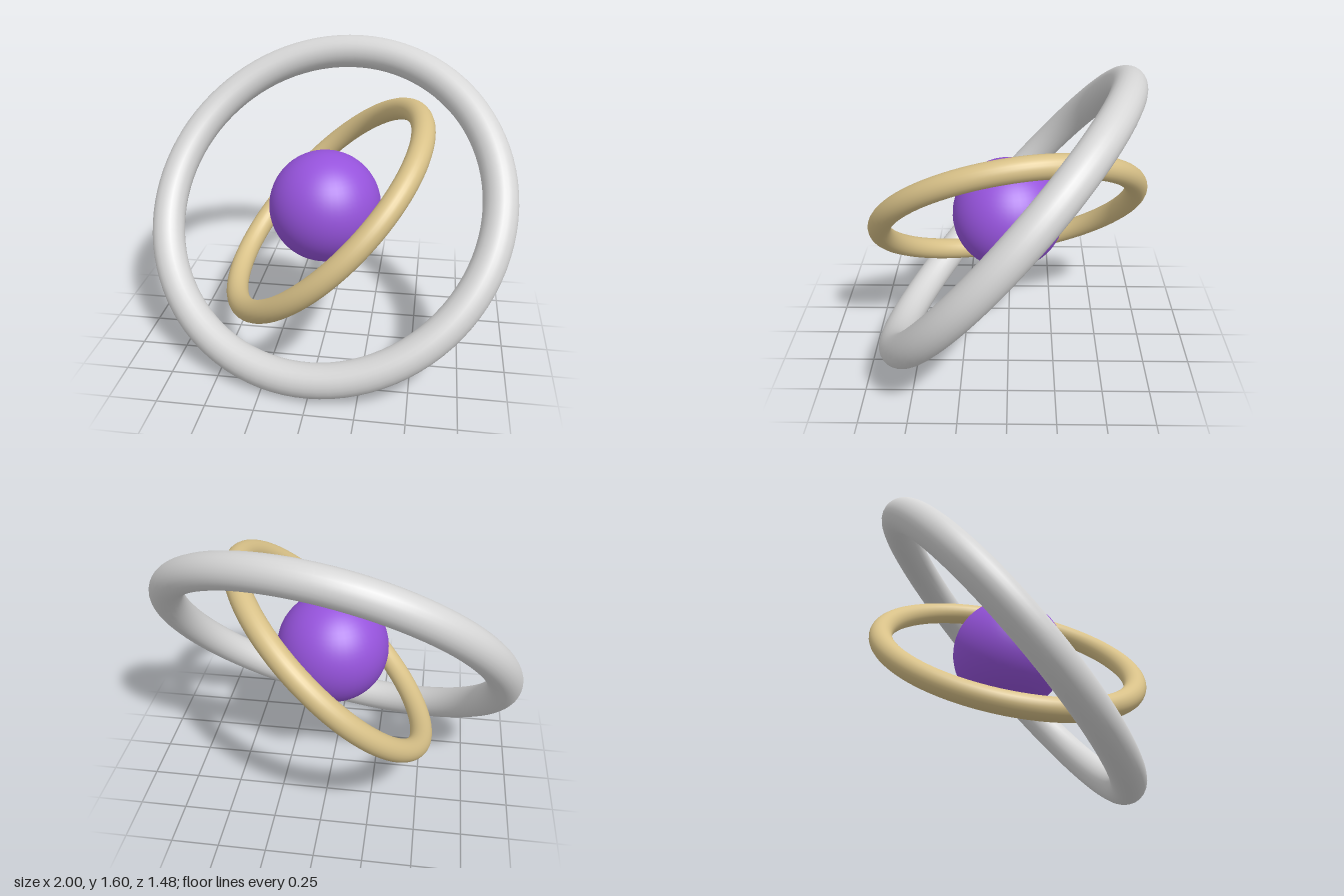
import * as THREE from 'three';

export function createModel() {
  const model = new THREE.Group();
  const CENTER_Y = 0.8;

  const makeMaterial = (name, color) => {
    const material = new THREE.MeshStandardMaterial({ color });
    material.name = name;
    return material;
  };
  const purple = makeMaterial('purple', 0x9653dc);
  const silver = makeMaterial('silver', 0xd6d6d6);
  const gold = makeMaterial('gold', 0xd8c188);

  const add = (name, geometry, material) => {
    const mesh = new THREE.Mesh(geometry, material);
    mesh.name = name;
    mesh.position.y = CENTER_Y;
    model.add(mesh);
    return mesh;
  };

  // A ring is a torus whose axis is turned to the given normal
  const addRing = (name, radius, tube, normal, material) => {
    const ring = add(name, new THREE.TorusGeometry(radius, tube, 24, 96), material);
    ring.quaternion.setFromUnitVectors(
      new THREE.Vector3(0, 0, 1),
      new THREE.Vector3(...normal).normalize()
    );
  };

  // Central sphere
  add('core', new THREE.SphereGeometry(0.3, 48, 32), purple);

  // Two tilted rings around the core
  addRing('outerRing', 0.923, 0.09, [-0.167, 0.639, 0.75], silver);
  addRing('innerRing', 0.69, 0.06, [-0.681, 0.711, 0.17], gold);

  return model;
}
